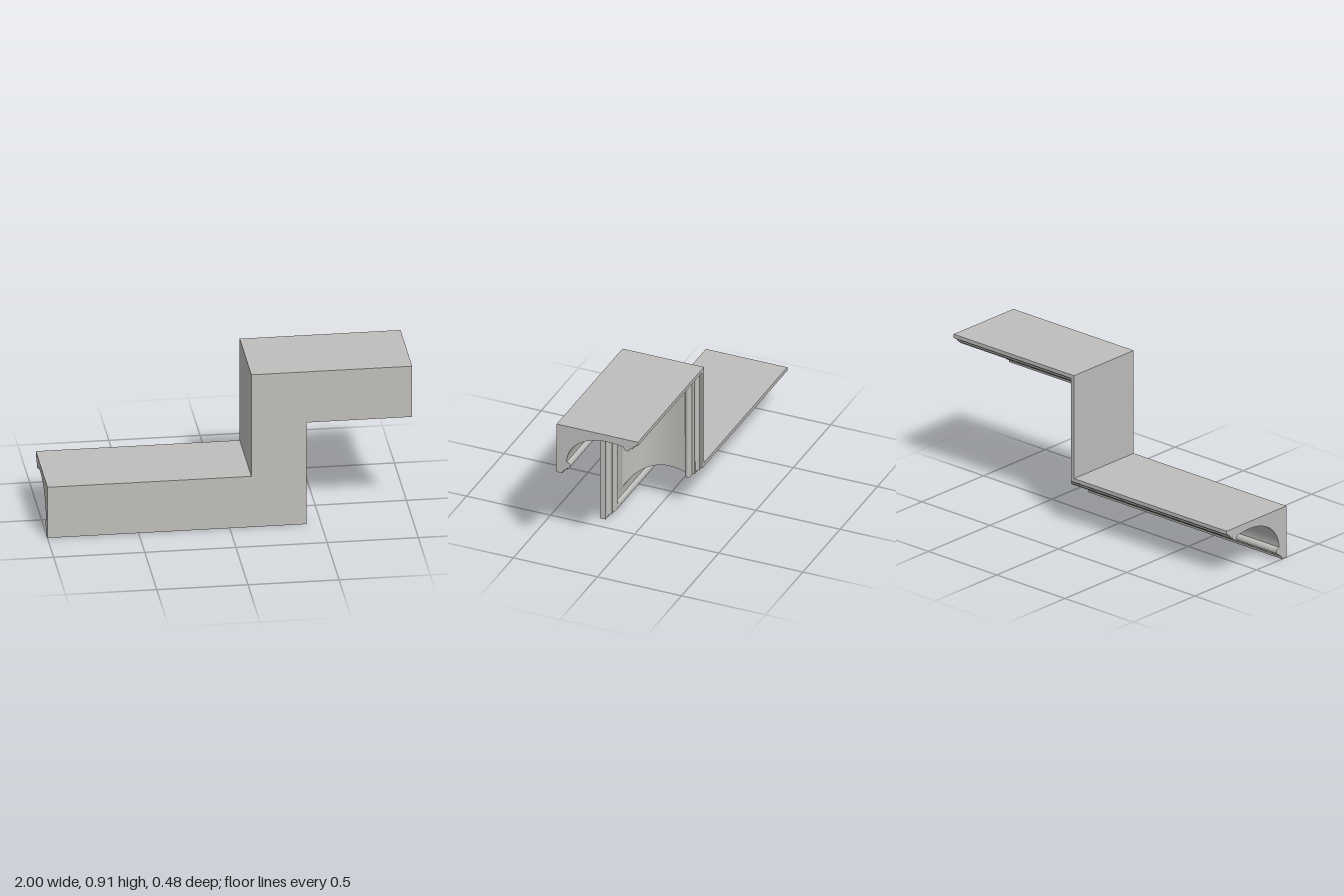
import * as THREE from 'three';
import { toCreasedNormals } from 'three/addons/utils/BufferGeometryUtils.js';

const HEIGHT = 0.907;

// Cross-section seen from the right end: u runs from front to back, v is height
function mouldingProfile() {
  const s = new THREE.Shape();
  s.moveTo(-0.242, HEIGHT);
  s.lineTo(-0.242, 0.605);
  s.lineTo(-0.208, 0.605);
  s.absarc(-0.183, 0.605, 0.025, Math.PI, Math.PI / 2, true); // small front cove
  s.lineTo(-0.183, 0.64);
  s.absarc(-0.183, 0.661, 0.021, -Math.PI / 2, Math.PI / 2, false); // front bead
  s.absellipse(0.05, 0.682, 0.233, 0.183, Math.PI, Math.PI / 2, true, 0); // main cove
  s.absellipse(0.05, 0.682, 0.32, 0.183, Math.PI / 2, 1.237, true, 0);
  s.absarc(0.175, 0.855, 0.02, Math.PI, Math.PI * 2, false); // back bead
  s.lineTo(0.209, 0.855);
  s.absarc(0.229, 0.855, 0.02, Math.PI, Math.PI / 2, true); // small back cove
  s.lineTo(0.229, 0.885);
  s.lineTo(0.242, 0.885);
  s.lineTo(0.242, HEIGHT);
  const pts = s.getPoints(10);
  return pts.filter((p, i) => p.distanceTo(pts[(i + 1) % pts.length]) > 1e-4);
}

// Sweep the profile along the stepped path with mitred corners
function sweptMoulding() {
  const profile = mouldingProfile();
  const n = profile.length;
  // Outer path corner (x, y) and the direction in which depth moves it
  const stations = [
    { x: -1, y: 0.302, dx: 0 },
    { x: 0.118, y: 0.302, dx: 1 },
    { x: 0.118, y: HEIGHT, dx: 1 },
    { x: 1, y: HEIGHT, dx: 0 },
  ];
  const positions = [];
  const index = [];
  for (const { x, y, dx } of stations) {
    for (const p of profile) {
      const depth = HEIGHT - p.y;
      positions.push(x + dx * depth, y - depth, -p.x);
    }
  }
  for (let s = 0; s < stations.length - 1; s++) {
    for (let j = 0; j < n; j++) {
      const a = s * n + j;
      const b = s * n + ((j + 1) % n);
      index.push(a, b, b + n, a, b + n, a + n);
    }
  }
  // End caps
  const last = (stations.length - 1) * n;
  for (const [a, b, c] of THREE.ShapeUtils.triangulateShape(profile, [])) {
    index.push(last + a, last + b, last + c, a, c, b);
  }
  const geometry = new THREE.BufferGeometry();
  geometry.setAttribute('position', new THREE.Float32BufferAttribute(positions, 3));
  geometry.setIndex(index);
  return toCreasedNormals(geometry, 0.6);
}

export function createModel() {
  const plaster = new THREE.MeshStandardMaterial({ color: 0xc0bebb });
  plaster.name = 'plaster grey';
  const moulding = new THREE.Mesh(sweptMoulding(), plaster);
  moulding.name = 'steppedCornice';
  const group = new THREE.Group();
  group.name = 'corniceMoulding';
  group.add(moulding);
  return group;
}
